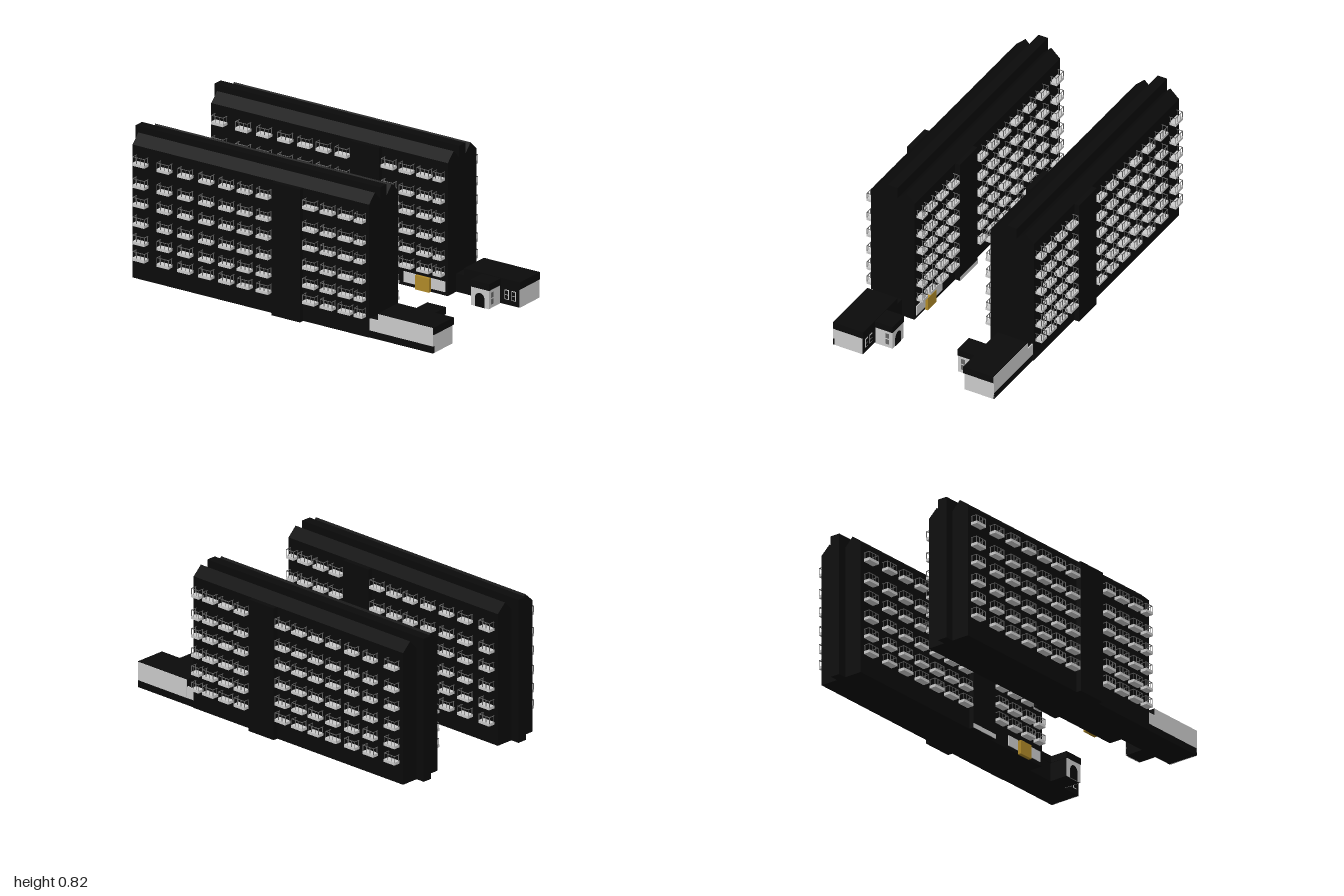
import * as THREE from 'three';
import { mergeGeometries } from 'three/addons/utils/BufferGeometryUtils.js';

const wallMat = new THREE.MeshStandardMaterial({ color: 0x0a0a0a });
const greyMat = new THREE.MeshStandardMaterial({ color: 0xcccccc });
const railMat = new THREE.MeshStandardMaterial({ color: 0x666666 });
const doorMat = new THREE.MeshStandardMaterial({ color: 0xb08a28 });

const MID = 0.367;   // distance of each block's centre line from z = 0
const HALF = 0.134;  // half depth of a block

function boxGeo(x0, x1, y0, y1, z0, z1) {
  const g = new THREE.BoxGeometry(Math.abs(x1 - x0), Math.abs(y1 - y0), Math.abs(z1 - z0));
  return g.translate((x0 + x1) / 2, (y0 + y1) / 2, (z0 + z1) / 2);
}

// Balcony railing of unit width: posts, front top rail and side rails
function railingGeo() {
  const parts = [];
  for (const x of [-0.49, -0.17, 0.17, 0.49]) {
    parts.push(boxGeo(x - 0.017, x + 0.017, 0.015, 0.052, 0.035, 0.038));
  }
  parts.push(boxGeo(-0.5, 0.5, 0.049, 0.052, 0.035, 0.038));
  for (const x of [-0.48, 0.48]) {
    parts.push(boxGeo(x - 0.02, x + 0.02, 0.049, 0.052, 0, 0.035));
    parts.push(boxGeo(x - 0.02, x + 0.02, 0.015, 0.052, 0.005, 0.008));
  }
  return mergeGeometries(parts);
}
const slabGeo = boxGeo(-0.5, 0.5, 0, 0.016, -0.002, 0.04);
const railGeo = railingGeo();

// Columns [centre x, width] and floor heights of the balconies
const columns = [-0.883, -0.727, -0.591, -0.455, -0.326, -0.206, -0.083, 0.217, 0.332, 0.447]
  .map((x) => [x, 0.078]);
columns.push([0.54, 0.054]);
const floors = [0.115, 0.209, 0.313, 0.425, 0.532, 0.657];

function addBalconies(block, s) {
  for (const side of [1, -1]) {
    for (const [x, w] of columns) {
      for (const y of floors) {
        const b = new THREE.Group();
        b.name = 'balcony';
        const slab = new THREE.Mesh(slabGeo, greyMat);
        slab.name = 'balconySlab';
        const rail = new THREE.Mesh(railGeo, railMat);
        rail.name = 'balconyRailing';
        b.add(slab, rail);
        b.scale.x = w;
        b.position.set(x, y, s * MID + side * HALF);
        if (side < 0) b.rotation.y = Math.PI;
        block.add(b);
      }
    }
  }
}

// One apartment block; s = 1 for the front block, -1 for its mirror image
function makeBlock(s) {
  const block = new THREE.Group();
  block.name = s > 0 ? 'frontBlock' : 'backBlock';
  const box = (name, mat, x0, x1, y0, y1, z0, z1) => {
    const m = new THREE.Mesh(boxGeo(x0, x1, y0, y1, s * z0, s * z1), mat);
    m.name = name;
    block.add(m);
  };

  // Main body with twin-gabled roof, swept along x
  const profile = new THREE.Shape([
    [-HALF, 0], [HALF, 0], [HALF, 0.76], [0.079, 0.811], [0.029, 0.76],
    [-0.029, 0.76], [-0.079, 0.811], [-HALF, 0.76],
  ].map(([x, y]) => new THREE.Vector2(x, y)));
  const bodyGeo = new THREE.ExtrudeGeometry(profile, { depth: 1.533, bevelEnabled: false });
  bodyGeo.rotateY(Math.PI / 2).translate(-0.948, 0, s * MID);
  const body = new THREE.Mesh(bodyGeo, wallMat);
  body.name = 'mainBody';
  block.add(body);

  // Central spine and stair tower
  box('spine', wallMat, -1, 0.585, 0, 0.825, MID - 0.029, MID + 0.029);
  box('stairTower', wallMat, -0.028, 0.158, 0, 0.76, MID - 0.163, MID + 0.163);

  // Ground floor entrance on the courtyard side
  box('entranceDoor', doorMat, 0.385, 0.475, 0, 0.08, 0.215, 0.235);
  box('entrancePanel', greyMat, 0.3, 0.38, 0.02, 0.08, 0.229, 0.235);
  box('entrancePanel', greyMat, 0.48, 0.57, 0.02, 0.08, 0.229, 0.235);
  box('towerPlinth', greyMat, -0.028, 0.158, 0, 0.025, 0.202, 0.206);

  // Low annex: link, hall, roof slab and light facings
  box('annexLink', wallMat, 0.58, 0.645, 0, 0.105, 0.312, 0.49);
  box('annexHall', wallMat, 0.64, 0.993, 0, 0.107, 0.312, 0.492);
  box('annexRoof', wallMat, 0.637, 1, 0.105, 0.147, 0.308, 0.494);
  box('annexBase', wallMat, 0.585, 0.997, 0, 0.04, 0.485, 0.497);
  box('annexOuterFacing', greyMat, 0.64, 0.996, 0.04, 0.145, 0.488, 0.497);
  box('linkOuterFacing', greyMat, 0.585, 0.64, 0.04, 0.107, 0.488, 0.496);
  box('annexEndFacing', greyMat, 0.99, 0.997, 0, 0.105, 0.315, 0.497);

  // Wing towards the courtyard
  box('wing', wallMat, 0.757, 0.871, 0, 0.107, 0.204, 0.315);
  box('wingRoof', wallMat, 0.753, 0.876, 0.105, 0.143, 0.2, 0.315);
  box('wingSideFacing', greyMat, 0.868, 0.873, 0, 0.105, 0.202, 0.305);
  box('wingEndFacing', greyMat, 0.757, 0.873, 0, 0.105, 0.201, 0.206);
  for (const y of [0.02, 0.058]) {
    box('wingWindow', railMat, 0.872, 0.8745, y, y + 0.03, 0.222, 0.245);
  }

  // Arched doorway on the wing end
  const arch = new THREE.Shape();
  arch.moveTo(-0.03, 0);
  arch.lineTo(0.03, 0);
  arch.lineTo(0.03, 0.05);
  arch.absarc(0, 0.05, 0.03, 0, Math.PI, false);
  const archGeo = new THREE.ExtrudeGeometry(arch, { depth: 0.004, bevelEnabled: false });
  archGeo.translate(0.815, 0, s * 0.2015 - 0.002);
  const archDoor = new THREE.Mesh(archGeo, wallMat);
  archDoor.name = 'archedDoorway';
  block.add(archDoor);

  // Framed windows on the courtyard wall of the annex
  for (const x of [0.9, 0.945]) {
    box('windowFrame', greyMat, x, x + 0.028, 0.03, 0.085, 0.309, 0.313);
    box('windowPane', wallMat, x + 0.004, x + 0.024, 0.034, 0.055, 0.308, 0.312);
    box('windowPane', wallMat, x + 0.004, x + 0.024, 0.059, 0.081, 0.308, 0.312);
  }

  addBalconies(block, s);
  return block;
}

export function createModel() {
  const model = new THREE.Group();
  model.name = 'apartmentBlocks';
  model.add(makeBlock(1), makeBlock(-1));
  return model;
}
